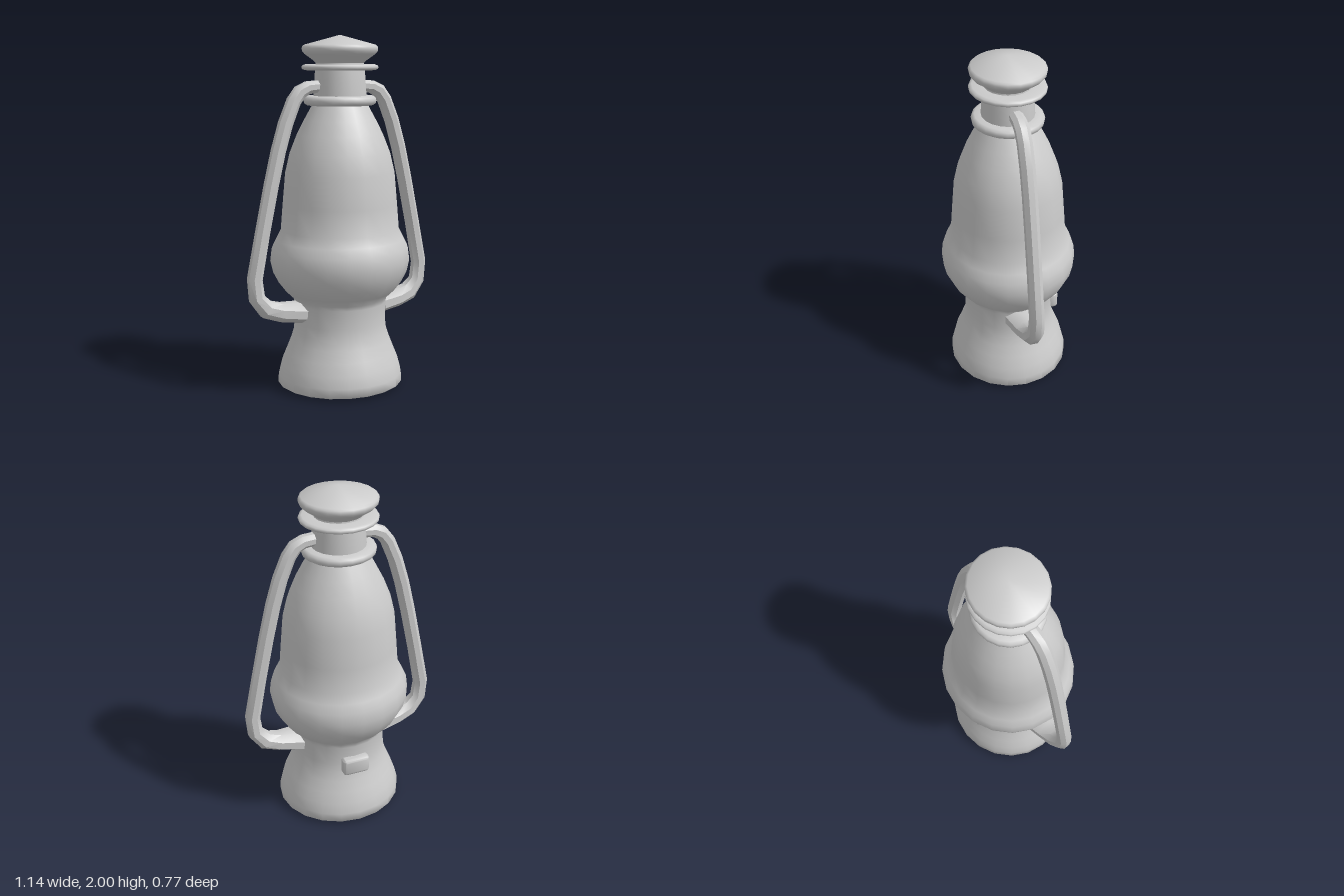
import * as THREE from 'three';
import { toCreasedNormals } from 'three/addons/utils/BufferGeometryUtils.js';
import { RoundedBoxGeometry } from 'three/addons/geometries/RoundedBoxGeometry.js';

const material = new THREE.MeshStandardMaterial({ color: 0xcccccc });
const DEPTH = 0.957; // round parts are slightly flattened front to back

function add(parent, name, geometry) {
  const mesh = new THREE.Mesh(geometry, material);
  mesh.name = name;
  parent.add(mesh);
  return mesh;
}

// Revolved part from [radius, y] pairs listed bottom to top
function turned(parent, name, profile, crease = 1.1) {
  const points = profile.map(([r, y]) => new THREE.Vector2(r, y));
  const g = new THREE.LatheGeometry(points, 20);
  g.scale(1, 1, DEPTH);
  return add(parent, name, toCreasedNormals(g, crease));
}

// Eight-sided bar swept in the xy plane; stations are [x, y, half thickness, half width in z]
function sweptBar(stations) {
  const sides = 8, pos = [], index = [];
  stations.forEach(([x, y, thick, wide], i) => {
    const a = stations[Math.max(i - 1, 0)];
    const b = stations[Math.min(i + 1, stations.length - 1)];
    const len = Math.hypot(b[0] - a[0], b[1] - a[1]);
    const nx = -(b[1] - a[1]) / len, ny = (b[0] - a[0]) / len;
    for (let k = 0; k < sides; k++) {
      const t = ((k + 0.5) / sides) * Math.PI * 2;
      const c = Math.cos(t) * thick;
      pos.push(x + nx * c, y + ny * c, Math.sin(t) * wide);
    }
  });
  for (let i = 0; i < stations.length - 1; i++) {
    for (let k = 0; k < sides; k++) {
      const a = i * sides + k, b = i * sides + ((k + 1) % sides);
      index.push(a, b, a + sides, b, b + sides, a + sides);
    }
  }
  // End caps
  const last = (stations.length - 1) * sides;
  for (let k = 1; k < sides - 1; k++) {
    index.push(0, k + 1, k, last, last + k, last + k + 1);
  }
  const g = new THREE.BufferGeometry();
  g.setAttribute('position', new THREE.Float32BufferAttribute(pos, 3));
  g.setIndex(index);
  return toCreasedNormals(g, 0.7);
}

export function createModel() {
  const lantern = new THREE.Group();
  lantern.name = 'lantern';

  // Flared foot, fuel collar, bulging holder and tapering globe in one skin
  turned(lantern, 'body', [
    [0, 0], [0.355, 0.014], [0.365, 0.02], [0.362, 0.07], [0.345, 0.135], [0.318, 0.2],
    [0.292, 0.265], [0.274, 0.32], [0.267, 0.38], [0.267, 0.49], [0.272, 0.515],
    [0.315, 0.555], [0.357, 0.61], [0.388, 0.67], [0.404, 0.74], [0.395, 0.81],
    [0.37, 0.86], [0.342, 0.915],
    [0.33, 1.06], [0.314, 1.24], [0.288, 1.35],
    [0.248, 1.45], [0.207, 1.53], [0.165, 1.605], [0.15, 1.63],
  ]);

  // Chimney neck
  turned(lantern, 'chimney', [[0.153, 1.6], [0.151, 1.67], [0.142, 1.8], [0.135, 1.86]]);

  // Collar rings
  const ring = (name, y, r, h) => turned(lantern, name, [
    [0.13, y - h], [r - 0.02, y - h], [r - 0.004, y - h * 0.6], [r, y],
    [r - 0.004, y + h * 0.6], [r - 0.02, y + h], [0.13, y + h],
  ]);
  ring('lowerRing', 1.64, 0.207, 0.026);
  ring('upperRing', 1.823, 0.218, 0.016);

  // Conical cap with a rounded rim
  turned(lantern, 'cap', [
    [0.135, 1.845], [0.15, 1.86], [0.2, 1.895], [0.213, 1.91],
    [0.216, 1.925], [0.213, 1.937], [0.202, 1.946], [0, 2],
  ]);

  // Side tubes, widening where they join the collar
  const path = [
    [0.12, 1.72, 0.036, 0.04], [0.2, 1.713, 0.038, 0.041], [0.247, 1.69, 0.041, 0.042],
    [0.285, 1.64, 0.041, 0.042], [0.335, 1.52, 0.042, 0.042], [0.38, 1.37, 0.042, 0.042],
    [0.425, 1.18, 0.042, 0.042], [0.48, 0.92, 0.042, 0.042], [0.529, 0.67, 0.044, 0.043],
    [0.518, 0.56, 0.047, 0.046], [0.462, 0.492, 0.055, 0.058],
    [0.38, 0.466, 0.056, 0.074], [0.25, 0.452, 0.062, 0.1],
  ];
  for (const [name, side] of [['leftHandle', 1], ['rightHandle', -1]]) {
    const handle = add(lantern, name, sweptBar(path));
    if (side < 0) handle.rotation.y = Math.PI;
  }

  // Small latch on the back of the collar, bent around it
  const latch = new RoundedBoxGeometry(0.16, 0.105, 0.06, 3, 0.018);
  const p = latch.attributes.position;
  for (let i = 0; i < p.count; i++) {
    p.setZ(i, p.getZ(i) + p.getX(i) ** 2 * 1.8);
  }
  add(lantern, 'latch', toCreasedNormals(latch, 0.7)).position.set(0, 0.372, -0.273);

  return lantern;
}
